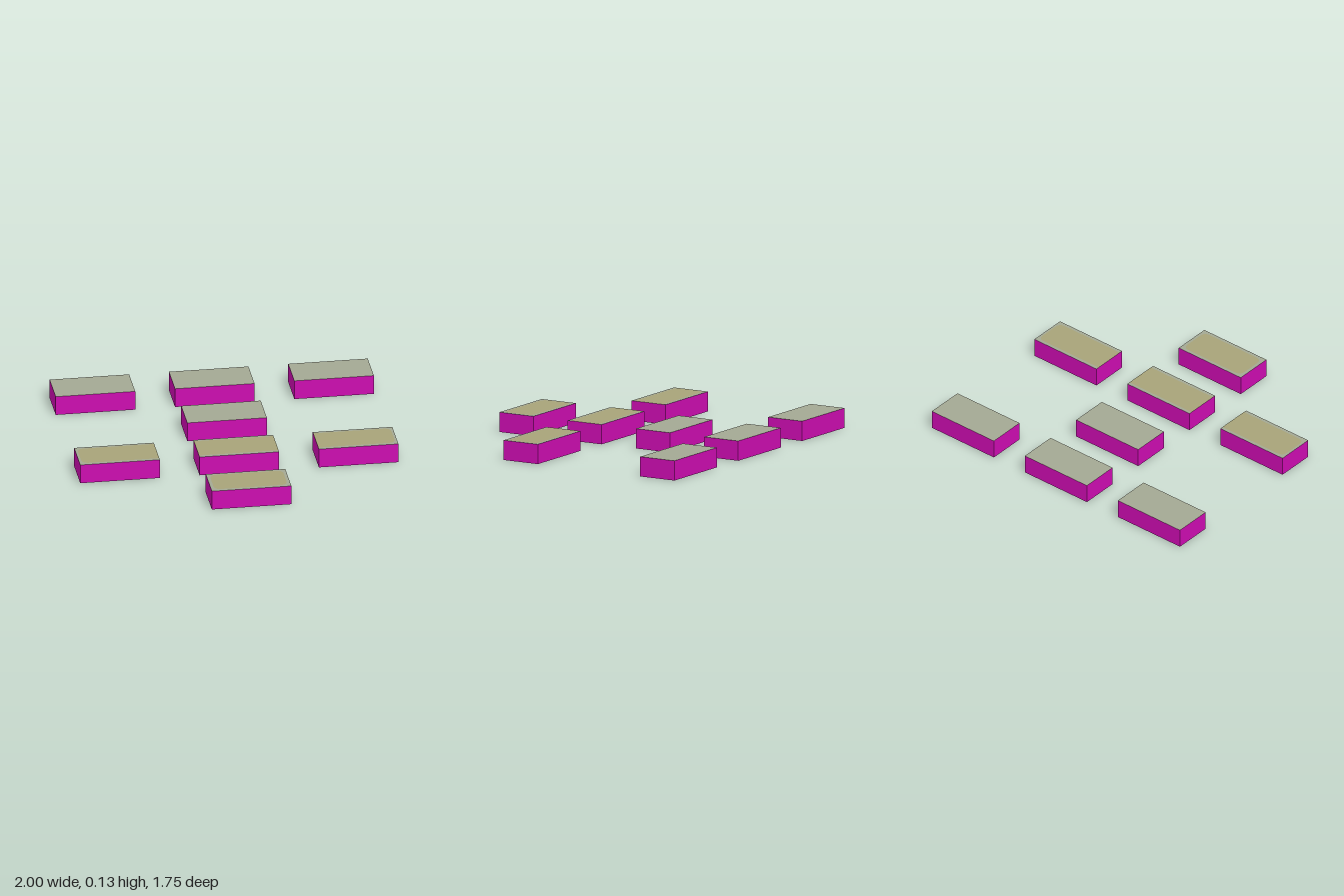
import * as THREE from 'three';

export function createModel() {
  const model = new THREE.Group();
  const mat = (name, color) => {
    const m = new THREE.MeshStandardMaterial({ color });
    m.name = name;
    return m;
  };
  const magenta = mat('magenta', 0xcc0cb0);
  const stone = mat('stone grey', 0xa3a893);
  const sand = mat('sand', 0xa7a379);

  const W = 0.5, H = 0.125, D = 0.25;

  // Magenta slab with a grey top face
  const slabGeometry = new THREE.BoxGeometry(W, H, D);
  const slabMaterials = [magenta, magenta, stone, magenta, magenta, magenta];

  // Flat inlay on the top face; corners are rounded only on the inset ends
  function inlay(insetLeft, insetRight) {
    const x0 = -W / 2 + insetLeft, x1 = W / 2 - insetRight;
    const z0 = -D / 2 + 0.02, z1 = D / 2 - 0.022;
    const rl = insetLeft ? 0.045 : 0, rr = insetRight ? 0.045 : 0;
    const s = new THREE.Shape();
    s.moveTo(x0 + rl, -z1);
    s.lineTo(x1 - rr, -z1);
    s.quadraticCurveTo(x1, -z1, x1, -z1 + rr);
    s.lineTo(x1, -z0 - rr);
    s.quadraticCurveTo(x1, -z0, x1 - rr, -z0);
    s.lineTo(x0 + rl, -z0);
    s.quadraticCurveTo(x0, -z0, x0, -z0 - rl);
    s.lineTo(x0, -z1 + rl);
    s.quadraticCurveTo(x0, -z1, x0 + rl, -z1);
    const g = new THREE.ShapeGeometry(s, 6);
    g.rotateX(-Math.PI / 2);
    return g;
  }

  // Position x, z and, for sand-topped slabs, the inlay's end insets
  const slabs = [
    ['backRightSlab', -0.75, -0.75],
    ['backCentreSlab', 0, -0.75],
    ['backLeftSlab', 0.75, -0.75],
    ['innerSlab', 0, -0.25],
    ['middleRightSlab', -0.75, 0.25, [0.015, 0]],
    ['middleCentreSlab', 0, 0.25, [0, 0]],
    ['middleLeftSlab', 0.75, 0.25, [0, 0.015]],
    ['frontSlab', 0, 0.75, [0.02, 0.02]],
  ];

  for (const [name, x, z, insets] of slabs) {
    const group = new THREE.Group();
    group.name = name;
    group.position.set(x, 0, z);
    const body = new THREE.Mesh(slabGeometry, slabMaterials);
    body.name = 'slabBody';
    body.position.y = H / 2;
    group.add(body);
    if (insets) {
      const top = new THREE.Mesh(inlay(...insets), sand);
      top.name = 'topInlay';
      top.position.y = H + 0.001;
      group.add(top);
    }
    model.add(group);
  }
  return model;
}
